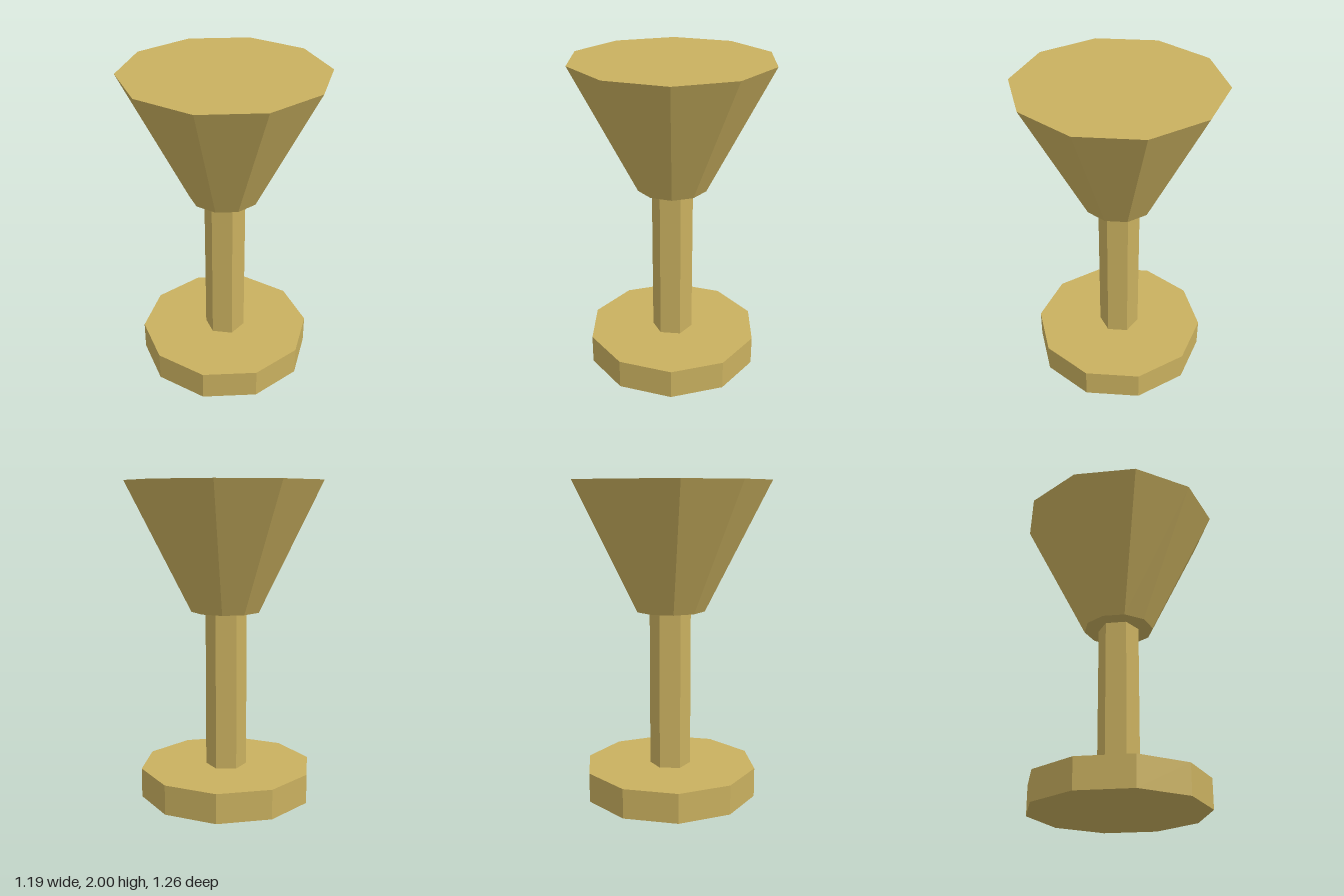
import * as THREE from 'three';

export function createModel() {
  const group = new THREE.Group();
  const gold = new THREE.MeshStandardMaterial({ color: 0xc9b05f, flatShading: true });
  gold.name = 'gold';

  // Faceted, capped section standing between two heights
  function section(name, topRadius, bottomRadius, y0, y1, sides) {
    const geometry = new THREE.CylinderGeometry(topRadius, bottomRadius, y1 - y0, sides);
    const mesh = new THREE.Mesh(geometry, gold);
    mesh.name = name;
    mesh.position.y = (y0 + y1) / 2;
    group.add(mesh);
  }

  section('base', 0.553, 0.553, 0, 0.187, 10);
  section('stem', 0.13, 0.13, 0.187, 1.193, 6);
  section('bowl', 0.628, 0.222, 1.193, 2, 10);

  group.name = 'goblet';
  return group;
}
